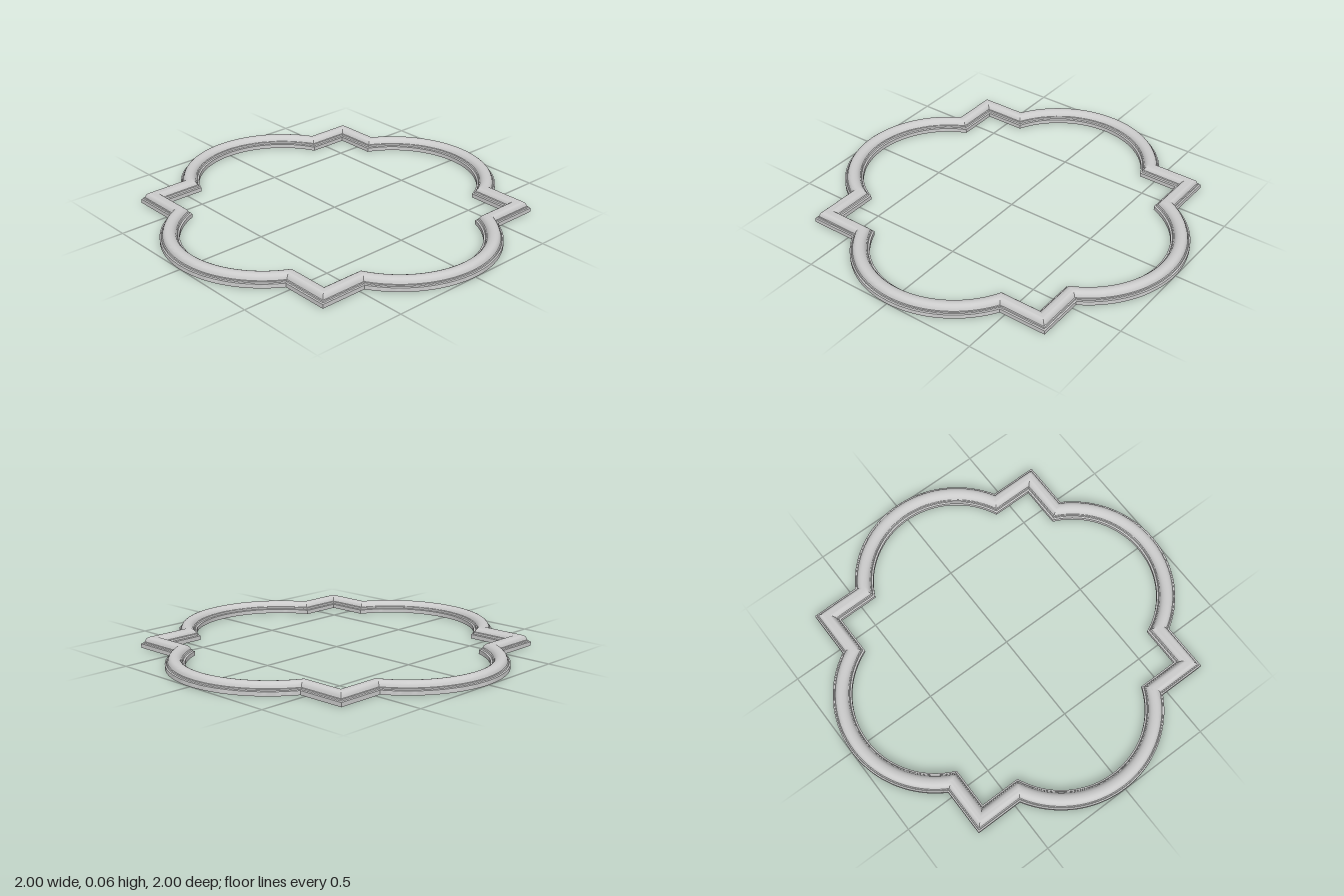
import * as THREE from 'three';
import { toCreasedNormals } from 'three/addons/utils/BufferGeometryUtils.js';

const HALF = 0.73;          // half side of the square corners
const RADIUS = 0.544;       // outer radius of each lobe
const CENTRE = 1 - RADIUS;  // distance of lobe centres from the middle
const ARC_STEPS = 48;

// Moulding section: [inset from the outer edge, height], bottom outer corner first
const PROFILE = [
  [0, 0], [0, 0.022], [0.007, 0.025], [0.009, 0.031], [0.014, 0.033],
  [0.017, 0.043], [0.022, 0.052], [0.03, 0.058], [0.04, 0.061], [0.05, 0.061],
  [0.061, 0.059], [0.071, 0.054], [0.079, 0.046], [0.083, 0.036],
  [0.088, 0.033], [0.091, 0.025], [0.1, 0.022], [0.1, 0],
];

// Quatrefoil outline moved inward by d: four arcs alternating with square corners
function outline(d) {
  const r = RADIUS - d, side = HALF - d;
  const sweep = Math.acos((side - CENTRE) / r);
  const points = [];
  for (let k = 0; k < 4; k++) {
    const turn = k * Math.PI / 2, c = Math.cos(turn), s = Math.sin(turn);
    const add = (x, z) => points.push([x * c + z * s, z * c - x * s]);
    for (let i = 0; i <= ARC_STEPS; i++) {
      const a = sweep * (2 * i / ARC_STEPS - 1);
      add(r * Math.sin(a), CENTRE + r * Math.cos(a));
    }
    add(side, side);
  }
  return points;
}

// Skin the section around the closed outline
function mouldingGeometry() {
  const positions = [], index = [];
  const count = 4 * (ARC_STEPS + 2);
  for (const [d, y] of PROFILE) {
    for (const [x, z] of outline(d)) positions.push(x, y, z);
  }
  for (let j = 0; j < PROFILE.length; j++) {
    const row = j * count, next = ((j + 1) % PROFILE.length) * count;
    for (let i = 0; i < count; i++) {
      const n = (i + 1) % count;
      index.push(row + i, row + n, next + n, row + i, next + n, next + i);
    }
  }
  const geometry = new THREE.BufferGeometry();
  geometry.setAttribute('position', new THREE.Float32BufferAttribute(positions, 3));
  geometry.setIndex(index);
  return toCreasedNormals(geometry, 0.55);
}

export function createModel() {
  const group = new THREE.Group();
  group.name = 'quatrefoilFrame';
  const moulding = new THREE.Mesh(
    mouldingGeometry(),
    new THREE.MeshStandardMaterial({ color: 0xcccccc }),
  );
  moulding.name = 'frameMoulding';
  group.add(moulding);
  return group;
}
